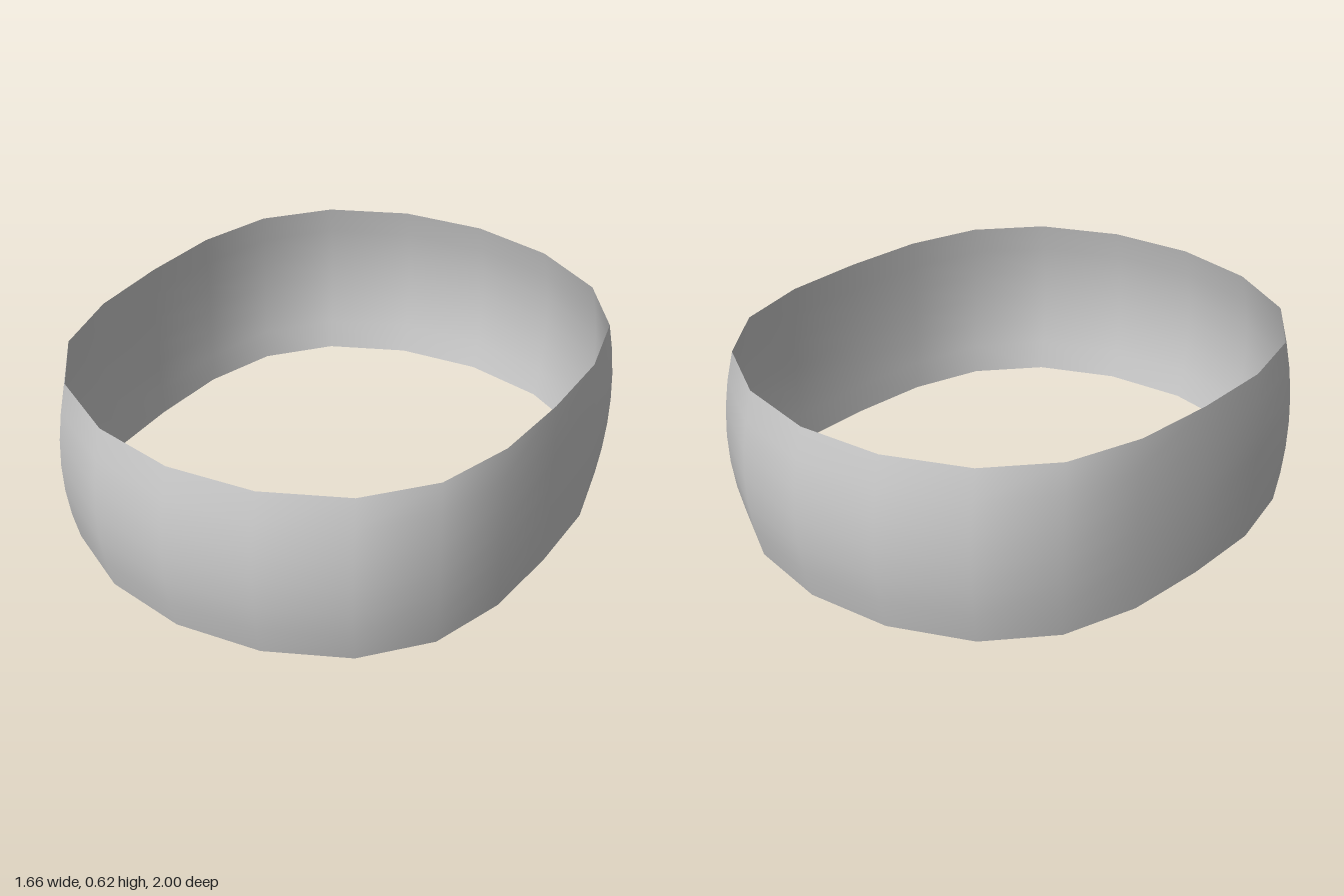
import * as THREE from 'three';

const HEIGHT = 0.62;
const ROWS = 6;

// Quarter outlines [x, z] from the front middle to the left side
const BELLY = [[0, 1], [0.309, 0.951], [0.584, 0.809], [0.757, 0.588], [0.82, 0.309], [0.832, 0]];
const RIM = [[0, 0.952], [0.3, 0.906], [0.566, 0.77], [0.737, 0.56], [0.81, 0.295], [0.823, 0]];

// Mirror a quarter outline into a closed ring
function fullRing(quarter) {
  const half = [...quarter, ...quarter.slice(0, -1).reverse().map(([x, z]) => [x, -z])];
  return [...half, ...half.slice(1, -1).reverse().map(([x, z]) => [-x, z])];
}

// Open band that bulges outwards at mid height
function bandGeometry() {
  const belly = fullRing(BELLY);
  const rim = fullRing(RIM);
  const n = belly.length;
  const positions = [];
  const indices = [];
  for (let r = 0; r <= ROWS; r++) {
    const t = (2 * r) / ROWS - 1;
    for (let i = 0; i < n; i++) {
      positions.push(
        THREE.MathUtils.lerp(belly[i][0], rim[i][0], t * t),
        (HEIGHT * r) / ROWS,
        THREE.MathUtils.lerp(belly[i][1], rim[i][1], t * t)
      );
      if (r === ROWS) continue;
      const a = r * n + i;
      const b = r * n + ((i + 1) % n);
      indices.push(a, b, b + n, a, b + n, a + n);
    }
  }
  const geometry = new THREE.BufferGeometry();
  geometry.setAttribute('position', new THREE.Float32BufferAttribute(positions, 3));
  geometry.setIndex(indices);
  geometry.computeVertexNormals();
  return geometry;
}

export function createModel() {
  const group = new THREE.Group();
  group.name = 'ring';
  const material = new THREE.MeshStandardMaterial({ color: 0xcccccc, side: THREE.DoubleSide });
  const band = new THREE.Mesh(bandGeometry(), material);
  band.name = 'band';
  group.add(band);
  return group;
}
